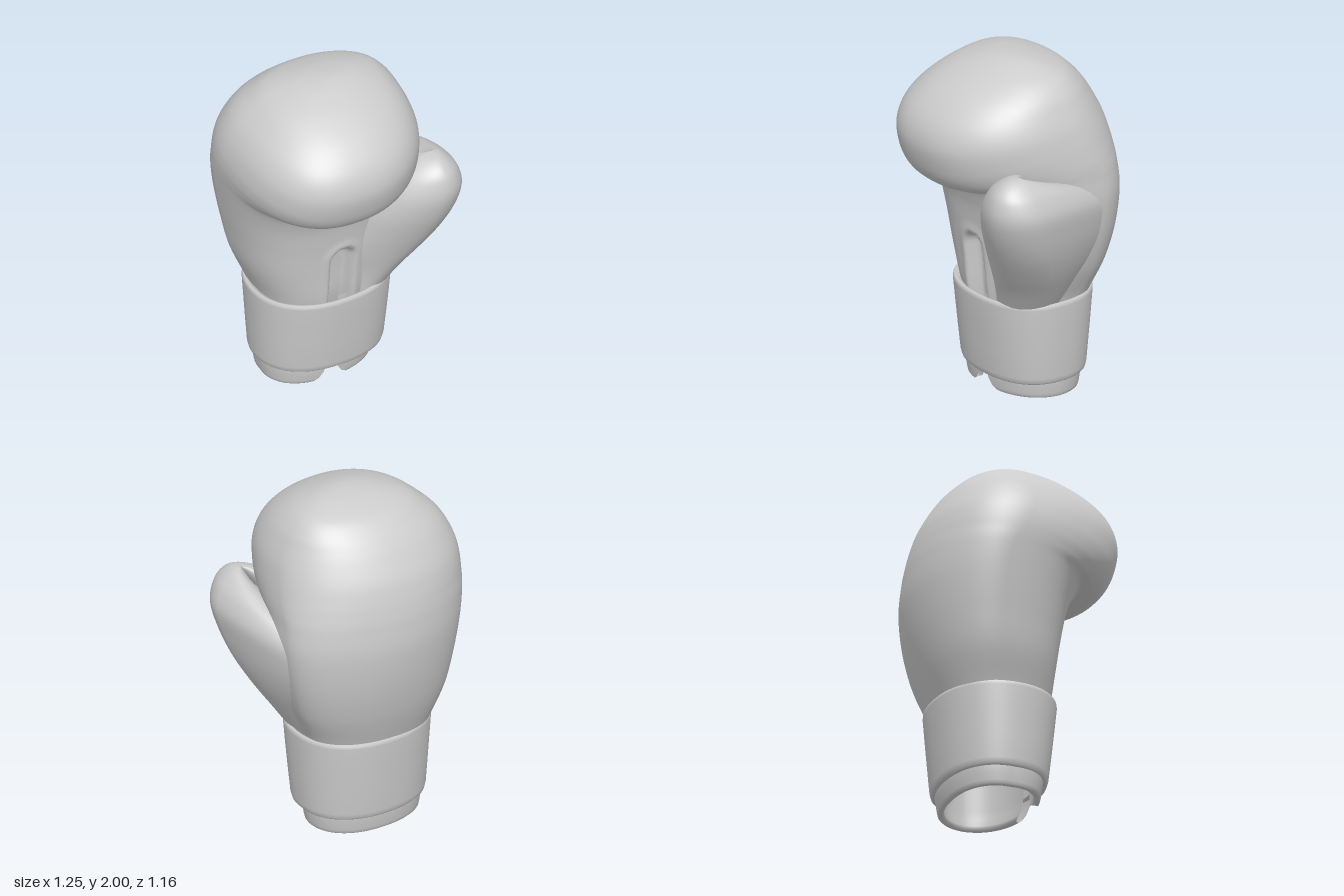
import * as THREE from 'three';

const material = new THREE.MeshStandardMaterial({ color: 0xcccccc, side: THREE.DoubleSide });
const smooth = THREE.MathUtils.smoothstep;

// Smoothly resample rows of numbers (uniform Catmull-Rom per column)
function resample(rows, steps) {
  const out = [];
  const at = i => rows[Math.min(rows.length - 1, Math.max(0, i))];
  for (let i = 0; i < rows.length - 1; i++) {
    for (let s = 0; s < steps; s++) {
      const t = s / steps;
      out.push(rows[i].map((_, k) => {
        const a = at(i - 1)[k], b = at(i)[k], c = at(i + 1)[k], d = at(i + 2)[k];
        return b + 0.5 * t * (c - a + t * (2 * a - 5 * b + 4 * c - d + t * (3 * (b - c) + d - a)));
      }));
    }
  }
  out.push(rows[rows.length - 1]);
  return out;
}

// Superellipse point on the unit section, at an even angle
function sectionPoint(a, n) {
  const c = Math.cos(a), s = Math.sin(a);
  const r = Math.pow(Math.abs(c) ** n + Math.abs(s) ** n, -1 / n);
  return [c * r, s * r];
}

// Skin a stack of rings; point(row, t) gives a position for t in 0..1 around the ring
function loft(name, rows, segments, point, closed = true) {
  const positions = [], index = [];
  const count = closed ? segments : segments + 1;
  rows.forEach((row, i) => {
    for (let j = 0; j < count; j++) positions.push(...point(row, j / segments));
    if (i === rows.length - 1) return;
    for (let j = 0; j < segments; j++) {
      const k = (j + 1) % count;
      const a = i * count + j, b = i * count + k;
      index.push(a, a + count, b, b, a + count, b + count);
    }
  });
  const geometry = new THREE.BufferGeometry();
  geometry.setAttribute('position', new THREE.Float32BufferAttribute(positions, 3));
  geometry.setIndex(index);
  geometry.computeVertexNormals();
  const mesh = new THREE.Mesh(geometry, material);
  mesh.name = name;
  return mesh;
}

// Palm and curled fingers: front y, front z, back y, back z, x min, x max, front and back squareness
function makeHand() {
  const rows = resample([
    [0.45, 0.17, 0.45, -0.37, -0.38, 0.29, 2.3, 2.1],
    [0.60, 0.205, 0.60, -0.43, -0.425, 0.33, 2.3, 2.1],
    [0.80, 0.225, 0.80, -0.50, -0.50, 0.42, 2.35, 2.05],
    [1.00, 0.25, 1.01, -0.55, -0.545, 0.48, 2.4, 1.98],
    [1.17, 0.28, 1.22, -0.576, -0.584, 0.51, 2.45, 1.92],
    [1.29, 0.335, 1.38, -0.57, -0.611, 0.507, 2.45, 1.91],
    [1.295, 0.43, 1.48, -0.555, -0.624, 0.502, 2.3, 1.94],
    [1.34, 0.505, 1.555, -0.536, -0.629, 0.491, 2.3, 2.0],
    [1.43, 0.555, 1.63, -0.51, -0.622, 0.475, 2.35, 2.05],
    [1.57, 0.582, 1.71, -0.467, -0.595, 0.45, 2.35, 2.13],
    [1.70, 0.545, 1.79, -0.415, -0.545, 0.412, 2.3, 2.2],
    [1.82, 0.44, 1.86, -0.355, -0.47, 0.368, 2.2, 2.2],
    [1.91, 0.30, 1.93, -0.27, -0.37, 0.295, 2.1, 2.15],
    [1.97, 0.16, 1.977, -0.145, -0.225, 0.18, 2, 2.1],
    [1.995, 0.07, 1.995, -0.05, -0.10, 0.08, 2, 2],
    [2.00, 0.012, 2.00, 0.01, -0.006, -0.004, 2, 2],
  ], 10);
  return loft('palmAndFingers', rows, 240, ([yF, zF, yB, zB, x0, x1, nF, nB], t) => {
    const a = t * Math.PI * 2;
    const [c, s] = sectionPoint(a, Math.sin(a) > 0 ? nF : nB);
    const zc = zB + 0.4 * (zF - zB);
    const x = (x0 + x1) / 2 + c * (x1 - x0) / 2 - 0.04 * s * s * (x1 - x0);
    const y = yB + (yF - yB) * ((s + 1) / 2) ** 2.5;
    let z = zc + s * (s > 0 ? zF - zc : zc - zB);
    // Sunken lacing slot with a soft raised rim
    if (s > 0 && y < 1.1) {
      const d = Math.hypot(x + 0.06, Math.max(0, y - 0.88));
      z += 0.008 * Math.exp(-(((d - 0.095) / 0.03) ** 2)) - 0.07 * (1 - smooth(d, 0.04, 0.082));
    }
    return [x, y, z];
  });
}

// Thumb: y, centre x, centre z, outer and inner half width, front and back half depth
function makeThumb() {
  const rows = resample([
    [0.55, 0.12, 0.00, 0.185, 0.15, 0.19, 0.26],
    [0.70, 0.20, 0.04, 0.20, 0.22, 0.21, 0.40],
    [0.85, 0.285, 0.11, 0.205, 0.28, 0.215, 0.54],
    [1.00, 0.355, 0.19, 0.205, 0.30, 0.21, 0.63],
    [1.15, 0.405, 0.25, 0.20, 0.30, 0.215, 0.68],
    [1.28, 0.435, 0.285, 0.19, 0.27, 0.212, 0.68],
    [1.38, 0.447, 0.30, 0.148, 0.21, 0.185, 0.58],
    [1.44, 0.45, 0.305, 0.10, 0.145, 0.145, 0.42],
    [1.48, 0.45, 0.31, 0.05, 0.07, 0.08, 0.20],
    [1.492, 0.45, 0.31, 0.002, 0.002, 0.003, 0.005],
  ], 6);
  return loft('thumb', rows, 80, ([y, x, z, outer, inner, front, back], t) => {
    const a = t * Math.PI * 2;
    // Only the outer front is fully round; the other sides taper into the hand
    const [c, s] = sectionPoint(a, Math.sin(a) > 0 && Math.cos(a) > 0 ? 2 : 1.65);
    const tail = Math.min(0, s) ** 2;
    return [
      x + c * (c > 0 ? outer : inner) - 0.07 * tail,
      y - 0.12 * tail * smooth(y, 0.7, 1.2),
      z + s * (s > 0 ? front : back),
    ];
  });
}

// Wrist cuff: y, x min, x max, z min, z max, rounded over at both rims
function makeCuff() {
  const rows = [
    [0.14, -0.37, 0.27, -0.35, 0.14],
    [0.112, -0.40, 0.295, -0.375, 0.165],
    [0.112, -0.415, 0.315, -0.39, 0.185],
    [0.122, -0.425, 0.324, -0.399, 0.194],
    [0.15, -0.432, 0.331, -0.405, 0.202],
    [0.30, -0.442, 0.343, -0.418, 0.22],
    [0.45, -0.451, 0.354, -0.431, 0.237],
    [0.58, -0.459, 0.362, -0.442, 0.251],
    [0.598, -0.457, 0.36, -0.44, 0.249],
    [0.606, -0.449, 0.352, -0.432, 0.241],
    [0.602, -0.435, 0.338, -0.418, 0.227],
    [0.57, -0.40, 0.31, -0.39, 0.19],
  ];
  return loft('wristCuff', rows, 96, ([y, x0, x1, z0, z1], t) => {
    const a = t * Math.PI * 2;
    const [c, s] = sectionPoint(a, Math.sin(a) > 0 && Math.cos(a) > 0 ? 2.4 : 2.2);
    return [(x0 + x1) / 2 + c * (x1 - x0) / 2, y, (z0 + z1) / 2 + s * (z1 - z0) / 2];
  });
}

// Inner sleeve, split at the front: y, outward offset, half gap
function makeSleeve() {
  const rows = [
    [0.58, -0.03, 0.035], [0.12, -0.03, 0.035], [0.07, -0.032, 0.045],
    [0.03, -0.036, 0.07], [0.012, -0.034, 0.10], [0.004, -0.022, 0.12],
    [0.004, -0.008, 0.12], [0.012, 0, 0.10], [0.03, 0.004, 0.07],
    [0.07, 0.01, 0.045], [0.12, 0.016, 0.035], [0.58, 0.03, 0.035],
  ];
  return loft('innerSleeve', rows, 96, ([y, grow, gap], t) => {
    const rx = 0.335 + grow, rz = 0.25 + grow, d = gap / rx;
    const [c, s] = sectionPoint(Math.PI / 2 + d + t * (Math.PI * 2 - 2 * d), 2.25);
    return [-0.055 + c * rx - 0.03 * Math.max(0, s), y, -0.11 + s * rz];
  }, false);
}

export function createModel() {
  const glove = new THREE.Group();
  glove.name = 'boxingGlove';
  glove.add(makeHand(), makeThumb(), makeCuff(), makeSleeve());
  return glove;
}
